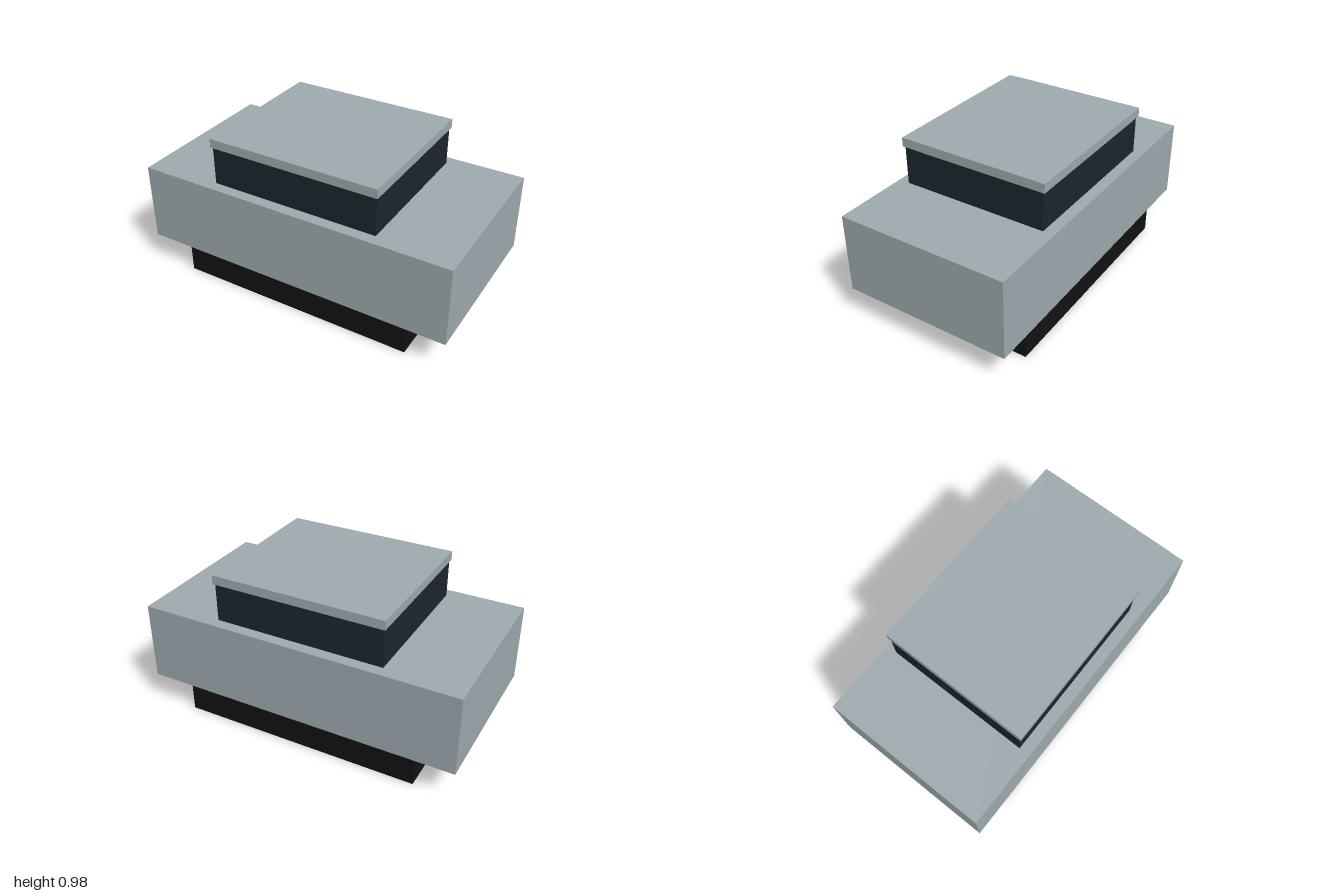
import * as THREE from 'three';

export function createModel() {
  const group = new THREE.Group();
  const shell = new THREE.MeshStandardMaterial({ color: 0x9eabb0 });
  const glass = new THREE.MeshStandardMaterial({ color: 0x1b262e });
  const black = new THREE.MeshStandardMaterial({ color: 0x121212 });

  // Centred block standing between two heights
  function block(name, width, depth, bottom, top, material) {
    const mesh = new THREE.Mesh(new THREE.BoxGeometry(width, top - bottom, depth), material);
    mesh.name = name;
    mesh.position.y = (bottom + top) / 2;
    group.add(mesh);
  }

  block('base', 1.505, 0.988, 0, 0.198, black);
  block('body', 2, 1.052, 0.198, 0.688, shell);
  // The cabin reaches up into the roof slab, stopping just under its top face
  block('cabin', 1.06, 0.914, 0.688, 0.975, glass);
  block('roof', 1.078, 0.938, 0.926, 0.982, shell);

  return group;
}
